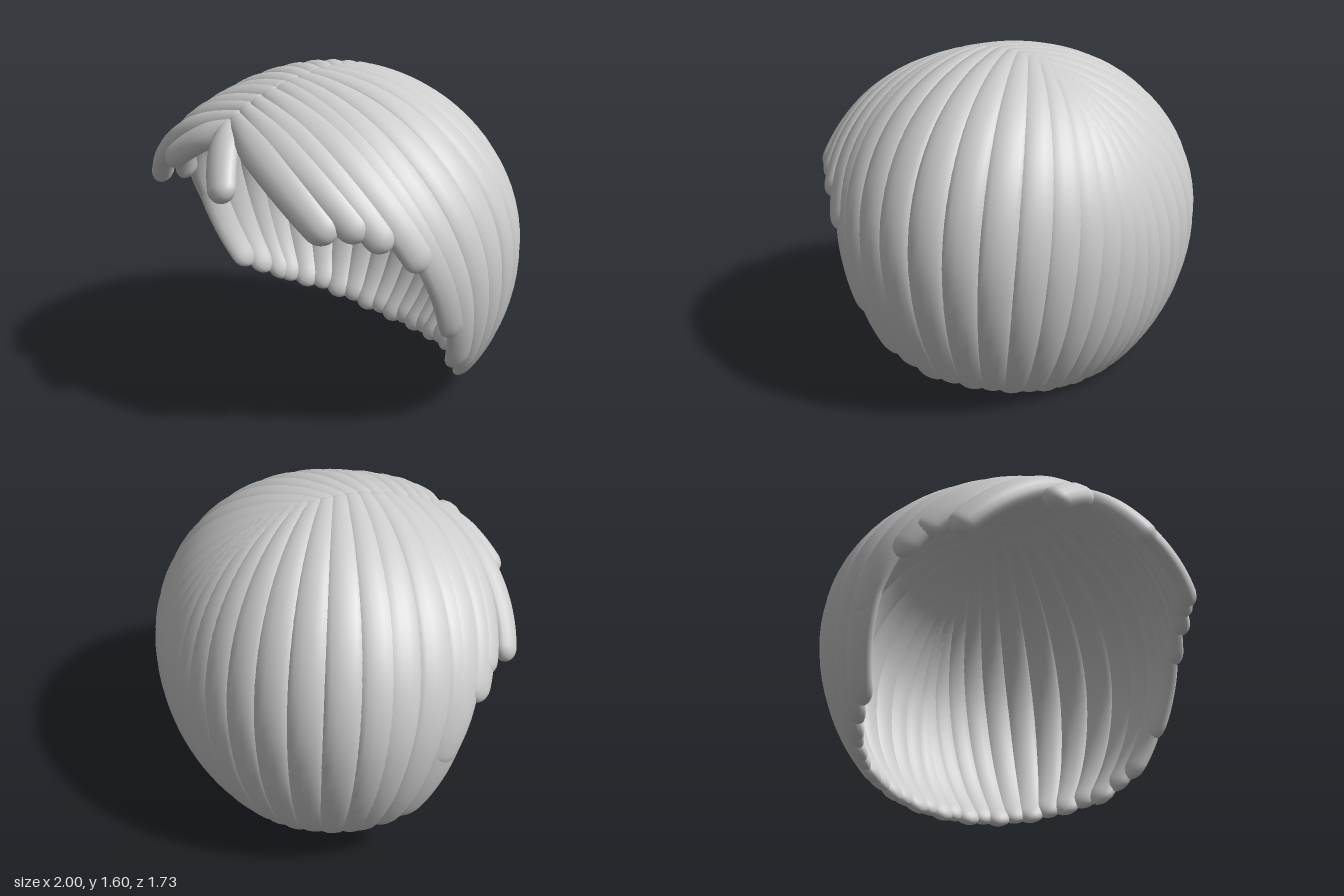
import * as THREE from 'three';

const CENTRE_Y = 0.75;

// Maps a unit direction onto the rounded head shell, with its outward normal.
function shell(u) {
  const r = new THREE.Vector3(1, u.y > 0 ? 0.86 : 1.0, u.z > 0 ? 0.98 : 0.87);
  return {
    point: u.clone().multiply(r).add(new THREE.Vector3(0, CENTRE_Y, 0)),
    normal: u.clone().divide(r).normalize(),
  };
}

// Direction of a point lying near the shell.
function direction(x, y, z) {
  const dy = y - CENTRE_Y;
  return new THREE.Vector3(x, dy / (dy > 0 ? 0.86 : 1.0), z / (z > 0 ? 0.98 : 0.87)).normalize();
}

// Direction of a point on the parting, by its z.
function partingDirection(x, z) {
  const uz = z / (z > 0 ? 0.98 : 0.87);
  return new THREE.Vector3(x, Math.sqrt(1 - x * x - uz * uz), uz);
}

// A lock of hair: a flattened round-ended tube swept over the shell.
function lockGeometry(from, to, width, thick, lift) {
  const rings = 44, sides = 14;
  const angle = from.angleTo(to), length = angle * 0.93;
  const at = (s) => {
    const u = from.clone().multiplyScalar(Math.sin((1 - s) * angle))
      .addScaledVector(to, Math.sin(s * angle)).divideScalar(Math.sin(angle));
    const { point, normal } = shell(u.normalize());
    return { point: point.addScaledVector(normal, lift * THREE.MathUtils.smoothstep(s, -0.3, 0.5) - thick), normal };
  };
  const round = (d, r) => Math.sqrt(Math.max(1e-4, 1 - Math.max(0, 1 - d / r) ** 2));
  const positions = [], index = [];
  for (let i = 0; i <= rings; i++) {
    const s = (1 - Math.cos(Math.PI * i / rings)) / 2;
    const { point, normal } = at(s);
    const tangent = at(Math.min(1, s + 0.005)).point.sub(at(Math.max(0, s - 0.005)).point).normalize();
    const across = tangent.clone().cross(normal).normalize();
    const cap = round(s * length, width * 0.6) * round((1 - s) * length, width * 0.85);
    const w = width * (0.65 + 0.35 * THREE.MathUtils.smoothstep(s, 0, 0.4)) * (1 - 0.2 * s ** 4) * cap;
    const t = thick * cap;
    for (let j = 0; j < sides; j++) {
      const a = j / sides * Math.PI * 2;
      const p = point.clone().addScaledVector(across, Math.cos(a) * w).addScaledVector(normal, Math.sin(a) * t);
      positions.push(p.x, p.y, p.z);
      if (i < rings) {
        const k = i * sides, n = (j + 1) % sides;
        index.push(k + j, k + sides + j, k + n, k + sides + j, k + sides + n, k + n);
      }
    }
  }
  const geometry = new THREE.BufferGeometry();
  geometry.setAttribute('position', new THREE.Float32BufferAttribute(positions, 3));
  geometry.setIndex(index);
  geometry.computeVertexNormals();
  return geometry;
}

export function createModel() {
  const model = new THREE.Group();
  model.name = 'hair';
  const hair = new THREE.MeshStandardMaterial({ color: 0xcccccc });
  hair.name = 'hair grey';

  // Each lock starts just across the parting so that both sides interlock
  const addLock = (name, sign, startZ, tip, width, thick, lift) => {
    const start = partingDirection(-0.045 * sign, startZ);
    const mesh = new THREE.Mesh(lockGeometry(start, tip, width, thick, lift), hair);
    mesh.name = name;
    model.add(mesh);
  };

  // Fringe and temple locks: parting z, tip x, y, z, half width, half thickness, lift
  const left = [
    [0.6, 0.26, 1.14, 0.86, 0.08, 0.055, 0.035],
    [0.58, 0.75, 1.03, 0.58, 0.095, 0.055, 0.035],
    [0.53, 0.84, 1.04, 0.47, 0.09, 0.05, 0.03],
    [0.47, 0.88, 0.98, 0.36, 0.09, 0.048, 0.02],
    [0.4, 0.94, 0.87, 0.2, 0.095, 0.042, 0.01],
    [0.32, 0.97, 0.48, 0.0, 0.1, 0.04, 0],
    [0.27, 0.89, 0.25, -0.1, 0.095, 0.04, 0],
    [0.21, 0.83, 0.19, -0.18, 0.095, 0.04, 0],
  ];
  const right = [
    [0.61, -0.35, 1.19, 0.8, 0.08, 0.055, 0.035],
    [0.57, -0.77, 0.96, 0.6, 0.085, 0.055, 0.04],
    [0.51, -0.87, 0.99, 0.44, 0.09, 0.05, 0.02],
    [0.46, -0.91, 0.89, 0.35, 0.095, 0.045, 0.015],
    [0.38, -0.97, 0.62, 0.13, 0.1, 0.042, 0.005],
    [0.32, -0.89, 0.25, -0.01, 0.1, 0.04, 0],
    [0.26, -0.84, 0.2, -0.11, 0.1, 0.04, 0],
    [0.2, -0.79, 0.15, -0.2, 0.095, 0.04, 0],
  ];
  [['left', 1, left], ['right', -1, right]].forEach(([side, sign, locks]) => {
    locks.forEach(([startZ, x, y, z, w, t, lift], i) => {
      const part = i < 3 ? 'Fringe' : 'Temple';
      addLock(`${side}${part}Lock${i + 1}`, sign, startZ, direction(x, y, z), w, t, lift);
    });
  });

  // Long locks round the sides and back, fanning out from the parting
  const count = 20;
  for (let i = 0; i < count; i++) {
    const azimuth = THREE.MathUtils.degToRad(20 + 140 * i / (count - 1));
    const c = Math.cos(azimuth);
    const back = 1 - Math.abs(azimuth - Math.PI / 2) / THREE.MathUtils.degToRad(70);
    const uy = -0.01 + 0.17 * Math.abs(c) ** 3 + (i % 2) * 0.012 - CENTRE_Y;
    const r = Math.sqrt(1 - uy * uy);
    const tip = new THREE.Vector3(r * c, uy, -r * Math.sin(azimuth));
    addLock(`backLock${i + 1}`, Math.sign(c), 0.14 - 0.54 * back, tip, 0.094, 0.04, 0);
  }

  // Stand the hair on the ground
  const box = new THREE.Box3().setFromObject(model);
  model.children.forEach((lock) => lock.geometry.translate(0, -box.min.y, 0));
  return model;
}
